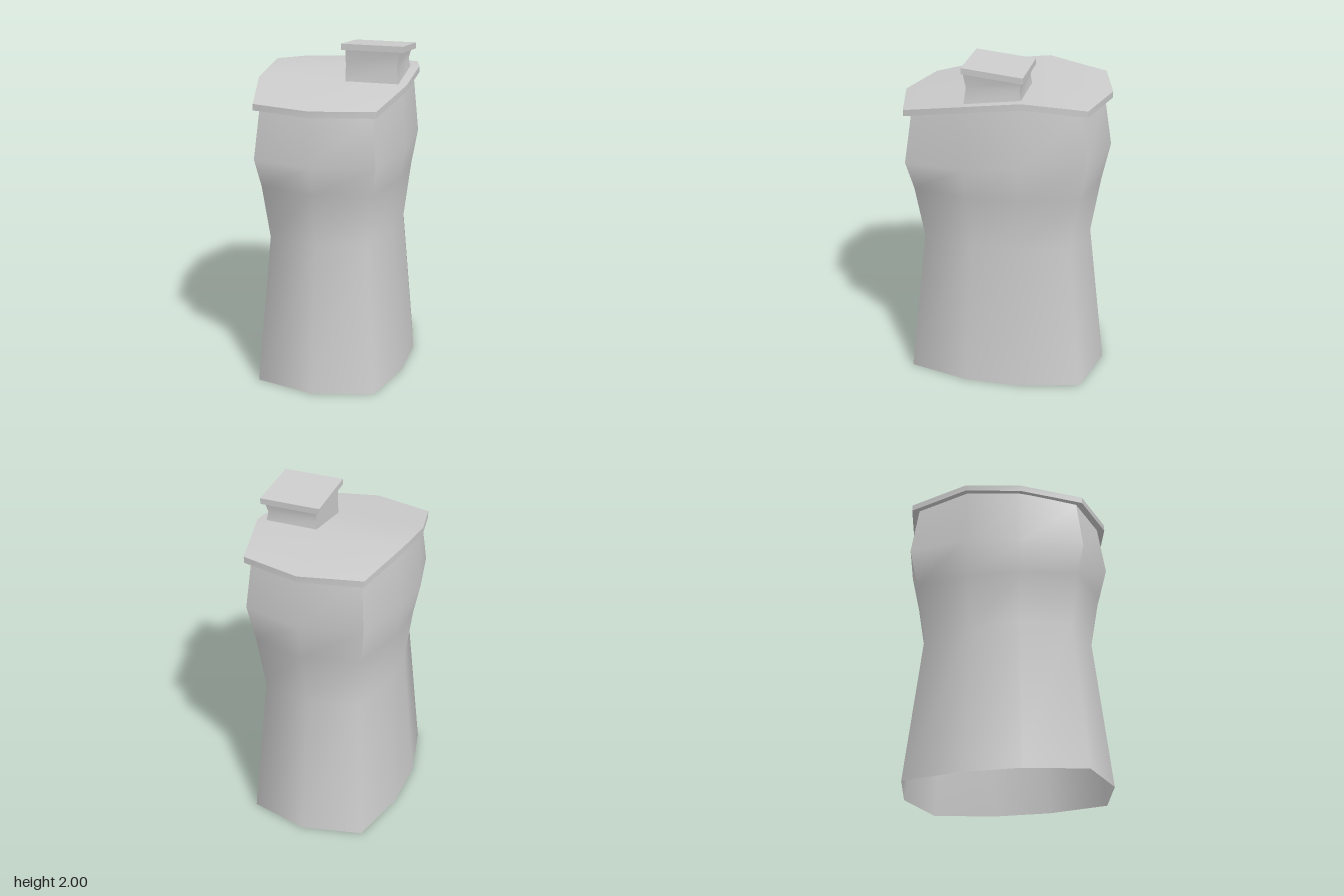
import * as THREE from 'three';

const material = new THREE.MeshStandardMaterial({ color: 0xcccccc, side: THREE.DoubleSide });

// Box whose grid vertices are moved by a rule; its twelve edges stay sharp
function shapedBox(name, segments, move) {
  const geo = new THREE.BoxGeometry(1, 1, 1, ...segments);
  const pos = geo.attributes.position;
  for (let i = 0; i < pos.count; i++) {
    const steps = [pos.getX(i), pos.getY(i), pos.getZ(i)].map((v, k) => Math.round((v + 0.5) * segments[k]));
    pos.setXYZ(i, ...move(...steps));
  }
  geo.computeVertexNormals();
  const mesh = new THREE.Mesh(geo, material);
  mesh.name = name;
  return mesh;
}

// Eight-sided outline: 3 columns across, 4 rows from back (0) to front (3)
const rowZ = [-0.53, -0.17, 0.17, 0.53];
function outline(ix, iz) {
  const end = iz === 0 || iz === 3;
  return [(ix - 1) * (end ? 0.355 : 0.443), end && ix === 1 ? Math.sign(rowZ[iz]) * 0.618 : rowZ[iz]];
}

// Underside heights of the lid, back to front
const lidBase = [1.745, 1.79, 1.745, 1.667];

// Body levels: scale of the outline and height of each row, back to front
const levels = [
  { s: 1, y: [0, 0, 0, 0] },
  { s: 0.83, y: [0.89, 0.89, 0.89, 0.89] },
  { s: 0.92, y: [1.23, 1.225, 1.215, 1.21] },
  { s: 1, y: [1.46, 1.44, 1.4, 1.38] },
  { s: 0.925, y: lidBase.map((y) => y + 0.008) },
];

function makeBody() {
  const body = shapedBox('body', [2, 4, 3], (ix, iy, iz) => {
    const [x, z] = outline(ix, iz);
    return [x * levels[iy].s, levels[iy].y[iz], z * levels[iy].s];
  });
  const geo = body.geometry;
  // Keep only the walls: the bottom is open and the lid closes the top
  const index = Array.from(geo.index.array);
  const [, , top, bottom] = geo.groups;
  index.splice(top.start, top.count + bottom.count);
  geo.setIndex(index);
  geo.clearGroups();
  geo.computeVertexNormals();
  // Corners are soft up to the shoulder and sharp above it
  const pos = geo.attributes.position, nor = geo.attributes.normal, sums = new Map();
  const key = (i) => [pos.getX(i), pos.getY(i), pos.getZ(i)].map((v) => v.toFixed(3)).join();
  for (let i = 0; i < pos.count; i++) {
    const n = new THREE.Vector3().fromBufferAttribute(nor, i);
    sums.set(key(i), (sums.get(key(i)) || new THREE.Vector3()).add(n));
  }
  for (let i = 0; i < pos.count; i++) {
    if (pos.getY(i) > 1.3) continue;
    const n = sums.get(key(i)).clone().normalize();
    nor.setXYZ(i, n.x, n.y, n.z);
  }
  return body;
}

export function createModel() {
  const model = new THREE.Group();
  model.name = 'binWithLid';
  model.add(makeBody());

  // Bent lid overhanging the body
  model.add(shapedBox('lid', [2, 1, 3], (ix, iy, iz) => {
    const [x, z] = outline(ix, iz);
    return [x, lidBase[iz] + iy * 0.037, z];
  }));

  // Pinched neck standing off-centre on the lid
  model.add(shapedBox('neck', [1, 2, 1], (ix, iy, iz) => {
    const pinch = iy === 1 ? 0.014 : 0;
    const y = iz ? [1.77, 1.875, 1.966][iy] : [1.8, 1.875, 1.935][iy];
    return [ix ? 0.395 - pinch : 0.08, y, (iz ? 1 : -1) * (0.166 - pinch)];
  }));

  // Square cap tilted down towards the back
  model.add(shapedBox('cap', [1, 1, 1], (ix, iy, iz) =>
    [ix ? 0.418 : 0.055, (iz ? 1.965 : 1.93) + iy * 0.035, iz ? 0.17 : -0.177]));

  return model;
}
